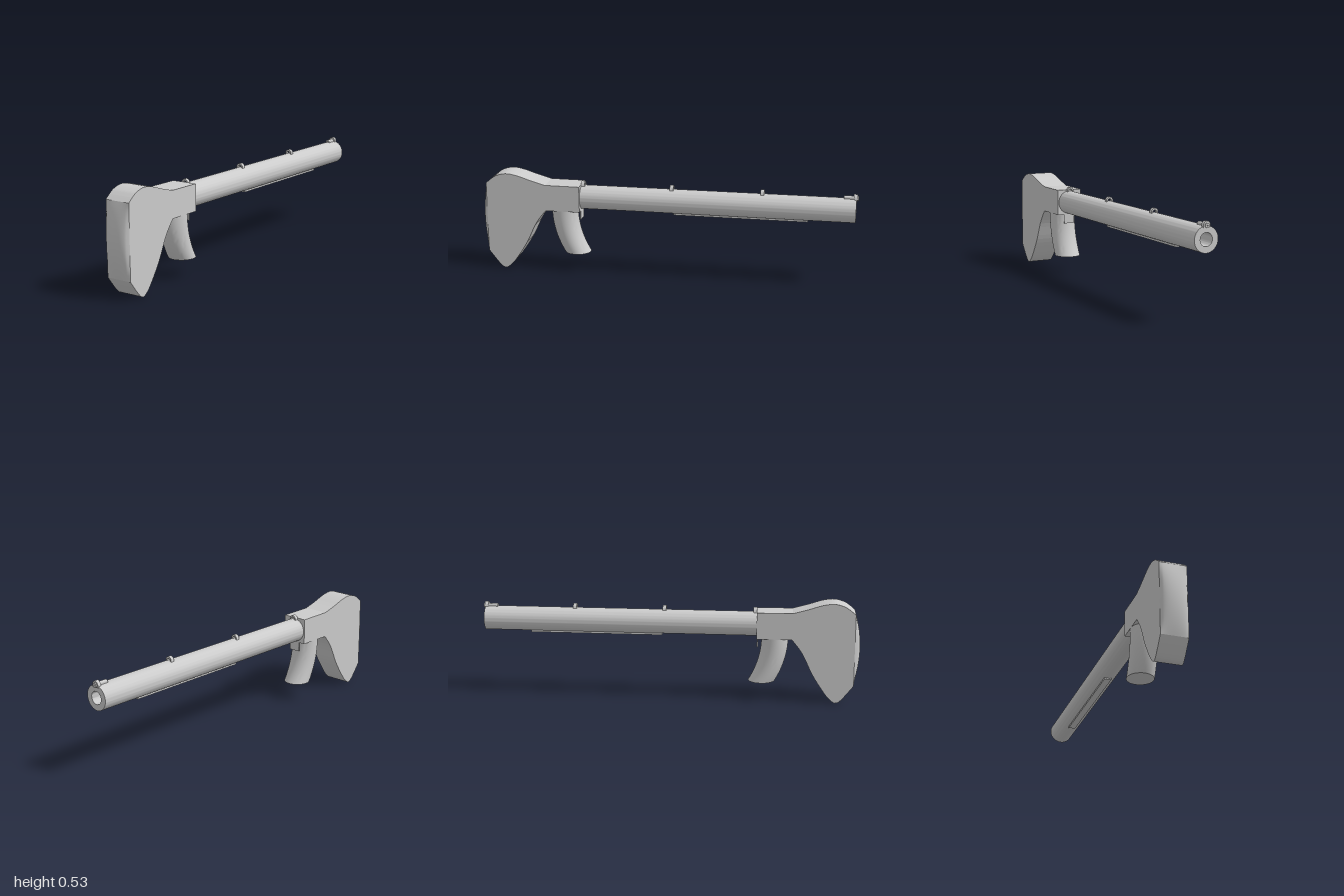
import * as THREE from 'three';
import { toCreasedNormals } from 'three/addons/utils/BufferGeometryUtils.js';

const BARREL_Y = 0.404;
const BARREL_R = 0.064;
const HALF_WIDTH = 0.07;

export function createModel() {
  const group = new THREE.Group();
  const material = new THREE.MeshStandardMaterial({ color: 0xcccccc });
  const doubleSided = new THREE.MeshStandardMaterial({ color: 0xcccccc, side: THREE.DoubleSide });

  const add = (name, geometry, x = 0, y = 0, z = 0, mat = material) => {
    const mesh = new THREE.Mesh(geometry, mat);
    mesh.name = name;
    mesh.position.set(x, y, z);
    group.add(mesh);
    return mesh;
  };
  const points = (list) => list.map(([x, y]) => new THREE.Vector2(x, y));

  // Extrudes a shape drawn in the (z, y) plane along +x
  const extrudeAlongX = (shape, length) =>
    toCreasedNormals(
      new THREE.ExtrudeGeometry(shape, { depth: length, bevelEnabled: false, curveSegments: 32 })
        .rotateY(Math.PI / 2), 0.6);

  // Stock: curved side outline extruded across the width
  const stock = new THREE.Shape();
  stock.moveTo(-0.97, 0.475);
  stock.splineThru(points([[-0.94, 0.5], [-0.91, 0.518], [-0.86, 0.53], [-0.8, 0.522], [-0.72, 0.497], [-0.645, 0.476]]));
  stock.lineTo(-0.46, 0.475);
  stock.lineTo(-0.46, 0.335);
  stock.lineTo(-0.645, 0.335);
  stock.splineThru(points([[-0.7, 0.262], [-0.755, 0.15], [-0.82, 0.05], [-0.855, 0.012], [-0.88, 0], [-0.91, 0.02], [-0.97, 0.095]]));
  stock.closePath();
  const stockGeometry = new THREE.ExtrudeGeometry(stock, {
    depth: HALF_WIDTH * 2, bevelEnabled: false, curveSegments: 4,
  }).translate(0, 0, -HALF_WIDTH);
  add('stock', stockGeometry);

  // Butt pad: rectangular patch bulging backwards
  const padHeight = 0.38;
  const pad = new THREE.PlaneGeometry(HALF_WIDTH * 2, padHeight, 16, 24).rotateY(-Math.PI / 2);
  const padPos = pad.attributes.position;
  for (let i = 0; i < padPos.count; i++) {
    const u = padPos.getZ(i) / HALF_WIDTH;
    const v = padPos.getY(i) / (padHeight / 2);
    const bulge = 0.03 * Math.sqrt(Math.max(0, 1 - u * u)) * (1 - v * v);
    padPos.setX(i, -bulge);
  }
  pad.computeVertexNormals();
  add('buttPad', pad, -0.97, 0.285, 0, doubleSided);

  // Barrel: tube with an open bore
  const tube = new THREE.Shape().absarc(0, 0, BARREL_R, 0, Math.PI * 2);
  tube.holes.push(new THREE.Path().absarc(0, 0, 0.033, 0, Math.PI * 2, true));
  add('barrel', extrudeAlongX(tube, 1.45), -0.46, BARREL_Y);

  // Sight lugs along the top of the barrel
  const lug = new THREE.Shape();
  lug.moveTo(-0.019, -0.012);
  lug.lineTo(0.019, -0.012);
  lug.lineTo(0.019, 0.006);
  lug.quadraticCurveTo(0.012, 0.021, 0, 0.021);
  lug.quadraticCurveTo(-0.012, 0.021, -0.019, 0.006);
  lug.closePath();
  lug.holes.push(new THREE.Path().absarc(0, 0, 0.011, 0, Math.PI * 2, true));
  for (const x of [-0.46, 0.018, 0.496, 0.975]) {
    add('sightLug', extrudeAlongX(lug, 0.019), x, 0.47);
  }

  // Front rod held by the last lug, with a fine central hole
  const rod = new THREE.Shape().absarc(0, 0, 0.012, 0, Math.PI * 2);
  rod.holes.push(new THREE.Path().absarc(0, 0, 0.003, 0, Math.PI * 2, true));
  add('frontRod', extrudeAlongX(rod, 0.075), 0.925, 0.47);

  // Rail under the barrel
  add('underRail', new THREE.BoxGeometry(0.705, 0.014, 0.038), 0.3925, 0.34);

  // Thin plate in front of the grip
  add('triggerPlate', new THREE.BoxGeometry(0.006, 0.06, 0.062), -0.464, 0.314);

  // Grip: round column swept forwards as it goes down
  const gripHeight = 0.25;
  const grip = new THREE.CylinderGeometry(HALF_WIDTH, HALF_WIDTH, gripHeight, 40, 16);
  const gripPos = grip.attributes.position;
  for (let i = 0; i < gripPos.count; i++) {
    const t = 0.5 - gripPos.getY(i) / gripHeight;
    gripPos.setX(i, gripPos.getX(i) + 0.068 * Math.pow(t, 2.2));
  }
  add('grip', toCreasedNormals(grip, 0.6), -0.555, 0.222);

  return group;
}
